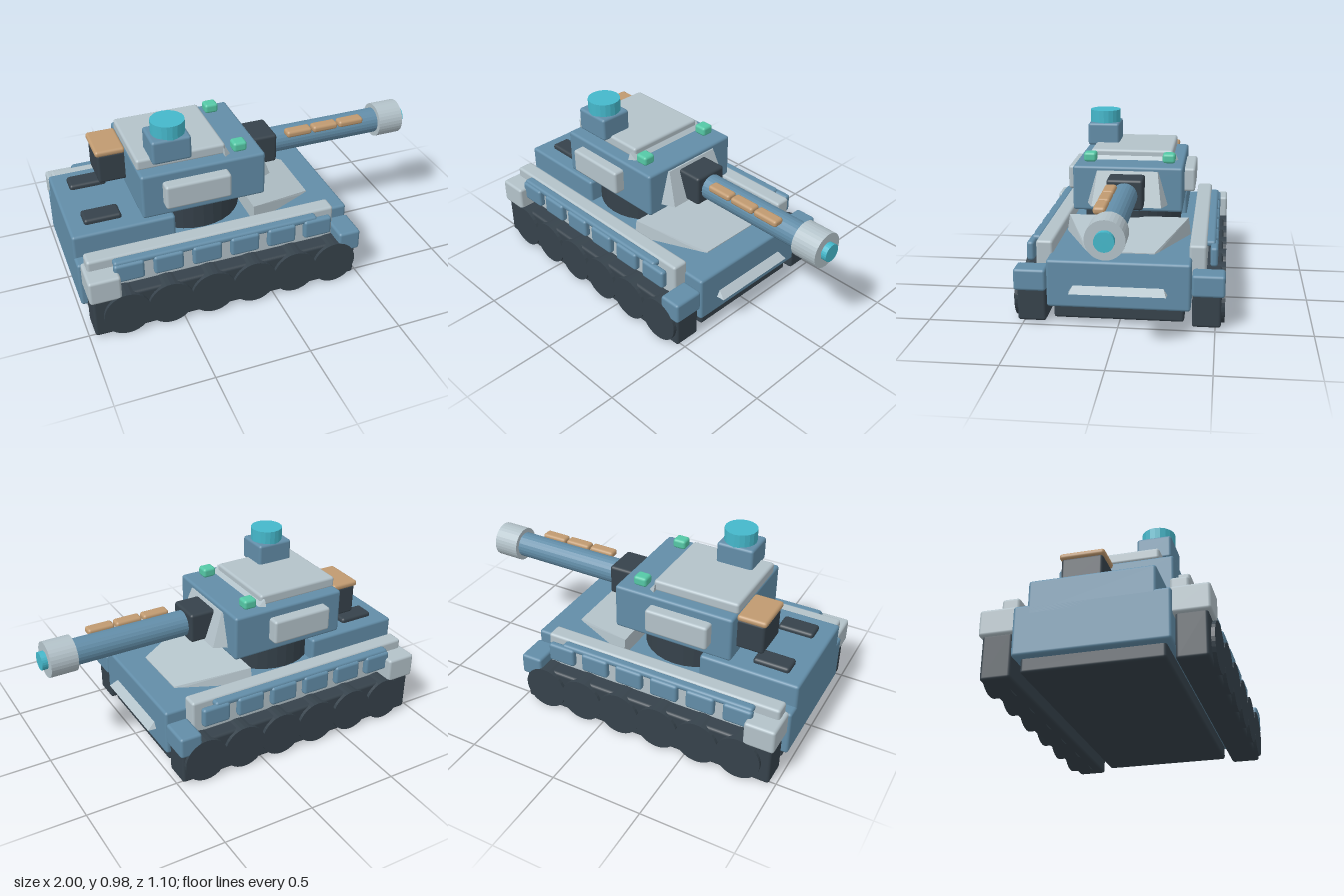
import * as THREE from 'three';
import { RoundedBoxGeometry } from 'three/addons/geometries/RoundedBoxGeometry.js';
import { ConvexGeometry } from 'three/addons/geometries/ConvexGeometry.js';

const paint = (name, color) => {
  const m = new THREE.MeshStandardMaterial({ color });
  m.name = name;
  return m;
};

export function createModel() {
  const blue = paint('hull blue', 0x628da8);
  const grey = paint('armour grey', 0xb3c2c9);
  const dark = paint('track dark', 0x36424b);
  const cyan = paint('lens cyan', 0x45b8cb);
  const green = paint('lamp green', 0x55c8a6);
  const tan = paint('strap tan', 0xc09a70);

  const group = (name, parent) => {
    const g = new THREE.Group();
    g.name = name;
    if (parent) parent.add(g);
    return g;
  };
  const add = (parent, name, geometry, material) => {
    const m = new THREE.Mesh(geometry, material);
    m.name = name;
    parent.add(m);
    return m;
  };
  // Bevelled box given by its [min, max] extents on each axis
  const box = (parent, name, material, [x0, x1], [y0, y1], [z0, z1], r = 0.015) => {
    const w = x1 - x0, h = y1 - y0, d = z1 - z0;
    const radius = Math.min(r, Math.min(w, h, d) * 0.45);
    const m = add(parent, name, new RoundedBoxGeometry(w, h, d, 2, radius), material);
    m.position.set((x0 + x1) / 2, (y0 + y1) / 2, (z0 + z1) / 2);
    return m;
  };
  // Cylinder along an axis with faceted sides
  const drum = (parent, name, material, radius, length, axis, pos, sides = 24) => {
    const c = new THREE.CylinderGeometry(radius, radius, length, sides);
    if (axis === 'x') c.rotateZ(-Math.PI / 2);
    if (axis === 'z') c.rotateX(Math.PI / 2);
    const g = c.toNonIndexed();
    g.computeVertexNormals();
    const m = add(parent, name, g, material);
    m.position.set(...pos);
    return m;
  };
  // Convex wedge symmetric in z, from [x, y, halfWidth] edges
  const wedge = (parent, name, material, edges) => add(parent, name, new ConvexGeometry(
    edges.flatMap(([x, y, w]) => [new THREE.Vector3(x, y, w), new THREE.Vector3(x, y, -w)])), material);

  const tank = group('tank');

  // Hull
  const hull = group('hull', tank);
  box(hull, 'hullBody', blue, [-1, 0.49], [0.105, 0.36], [-0.373, 0.373]);
  box(hull, 'rearDeck', blue, [-1, -0.46], [0.3, 0.485], [-0.305, 0.305]);
  box(hull, 'belly', dark, [-0.96, 0.46], [0.035, 0.16], [-0.34, 0.34]);
  wedge(hull, 'glacis', grey, [
    [-0.04, 0.35, 0.35], [-0.04, 0.455, 0.335], [0.34, 0.35, 0.18], [0.34, 0.365, 0.175]]);
  wedge(hull, 'bowPlate', grey, [
    [0.48, 0.235, 0.23], [0.48, 0.195, 0.255], [0.535, 0.195, 0.25]]);
  for (const z of [-0.172, 0.165])
    box(hull, 'deckGrille', dark, [-0.915, -0.72], [0.47, 0.51], [z - 0.054, z + 0.054]);

  // Running gear on both sides
  for (const s of [1, -1]) {
    const side = group(s > 0 ? 'frontFacingTrack' : 'rearFacingTrack', tank);
    const sideBox = (name, mat, x, y, [a, b], r) =>
      box(side, name, mat, x, y, s > 0 ? [a, b] : [-b, -a], r);
    sideBox('track', dark, [-0.97, 0.475], [0.017, 0.245], [0.38, 0.53]);
    sideBox('skirt', grey, [-0.965, 0.372], [0.235, 0.425], [0.357, 0.447]);
    sideBox('rearMudguard', grey, [-0.985, -0.82], [0.235, 0.37], [0.36, 0.547]);
    sideBox('frontMudguard', blue, [0.37, 0.493], [0.187, 0.305], [0.377, 0.547]);
    sideBox('skirtRail', blue, [-0.84, 0.26], [0.385, 0.418], [0.44, 0.492]);
    for (let i = 0; i < 6; i++) {
      const x = -0.765 + i * 0.205;
      sideBox('skirtPanel', blue, [x - 0.078, x + 0.078], [0.3, 0.405], [0.465, 0.505]);
      drum(side, 'roadWheel', dark, 0.122, 0.12, 'z', [-0.8 + i * 0.229, 0.13, s * 0.488], 32);
    }
  }

  // Turret
  const turret = group('turret', tank);
  drum(turret, 'turretRing', dark, 0.28, 0.16, 'y', [-0.3, 0.43, 0], 32);
  box(turret, 'turretBody', blue, [-0.63, 0.037], [0.503, 0.753], [-0.302, 0.302]);
  box(turret, 'roofPlate', grey, [-0.63, -0.155], [0.745, 0.808], [-0.235, 0.228]);
  wedge(turret, 'roofLip', grey, [
    [-0.17, 0.74, 0.27], [-0.17, 0.79, 0.25], [-0.135, 0.752, 0.24], [-0.135, 0.74, 0.24]]);
  for (const s of [1, -1]) {
    box(turret, 'cheekPlate', grey, [-0.52, -0.17], [0.57, 0.705],
      s > 0 ? [0.28, 0.362] : [-0.362, -0.28]);
    box(turret, 'lamp', green, [-0.12, -0.045], [0.757, 0.81], [s * 0.219 - 0.035, s * 0.219 + 0.035]);
  }
  box(turret, 'stowageBox', dark, [-0.775, -0.61], [0.555, 0.725], [-0.235, -0.02]);
  box(turret, 'stowageLid', tan, [-0.785, -0.625], [0.718, 0.752], [-0.244, -0.01]);
  box(turret, 'periscopeBase', blue, [-0.557, -0.35], [0.79, 0.92], [0.092, 0.274]);
  drum(turret, 'periscopeLens', cyan, 0.088, 0.09, 'y', [-0.447, 0.945, 0.183], 20);

  // Gun
  const gun = group('gun', tank);
  wedge(gun, 'mantletPlate', grey, [
    [0.02, 0.545, 0.228], [0.02, 0.73, 0.175], [0.045, 0.73, 0.165], [0.11, 0.545, 0.19]]);
  box(gun, 'mantlet', dark, [0.04, 0.19], [0.55, 0.716], [-0.098, 0.098]);
  drum(gun, 'barrel', blue, 0.07, 0.7, 'x', [0.5, 0.63, 0]);
  drum(gun, 'muzzle', grey, 0.095, 0.145, 'x', [0.8975, 0.63, 0], 32);
  drum(gun, 'muzzleCore', cyan, 0.048, 0.06, 'x', [0.97, 0.63, 0]);
  for (let i = 0; i < 3; i++) {
    const x = 0.255 + i * 0.157;
    box(gun, 'barrelStrip', tan, [x, x + 0.148], [0.673, 0.711], [0.03, 0.093]);
  }
  return tank;
}
